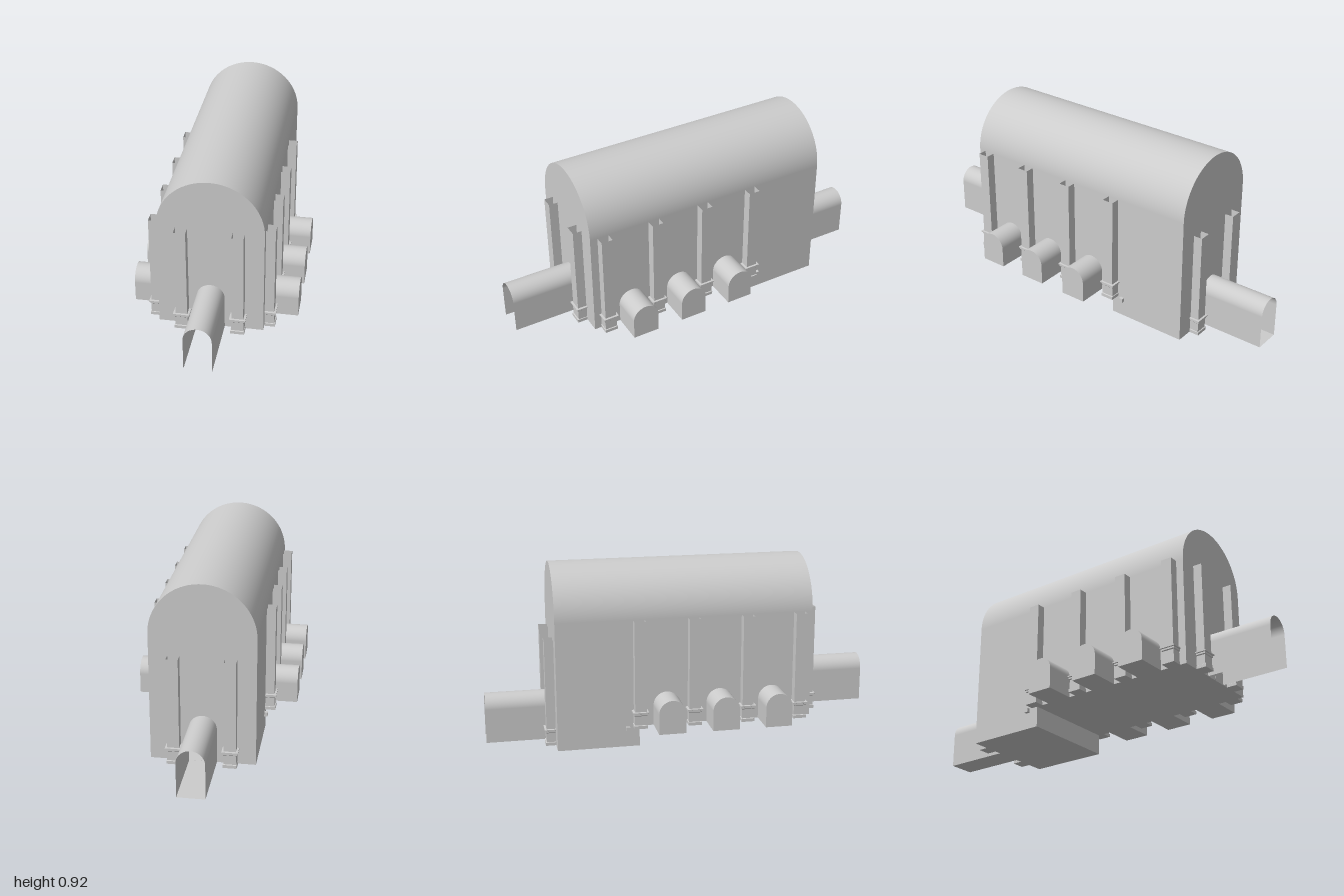
import * as THREE from 'three';

const W = 0.258, FLOOR = 0.106, SPRING = 0.657, END = 0.655, STEP = -0.24;
const mat = new THREE.MeshStandardMaterial({ color: 0xcccccc, side: THREE.DoubleSide });

function add(parent, name, geometry, x = 0, y = 0, z = 0) {
  const mesh = new THREE.Mesh(geometry, mat);
  mesh.name = name;
  mesh.position.set(x, y, z);
  parent.add(mesh);
  return mesh;
}

const box = (w, h, d) => new THREE.BoxGeometry(w, h, d);

// Half barrel running along z, springing from y = 0
const vaultGeometry = (r, length, segments) =>
  new THREE.CylinderGeometry(r, r, length, segments, 1, true, Math.PI / 2, Math.PI).rotateX(Math.PI / 2);

// Arched outline, used for gables, openings and end walls
function arch(Type, cx, y0, r, spring) {
  const p = new Type();
  p.moveTo(cx - r, y0);
  p.lineTo(cx + r, y0);
  p.lineTo(cx + r, spring);
  p.absarc(cx, spring, r, 0, Math.PI, false);
  p.lineTo(cx - r, y0);
  return p;
}

// Arched passage starting at its own z = 0 and running toward +z
function passage(name, r, spring, length, hasFloor, hasEnd) {
  const g = new THREE.Group();
  g.name = name;
  add(g, 'passageVault', vaultGeometry(r, length, 32), 0, spring, length / 2);
  for (const s of [-1, 1]) {
    add(g, 'passageWall', new THREE.PlaneGeometry(length, spring).rotateY(s * Math.PI / 2), s * r, spring / 2, length / 2);
  }
  if (hasFloor) add(g, 'passageFloor', new THREE.PlaneGeometry(2 * r, length).rotateX(Math.PI / 2), 0, 0, length / 2);
  if (hasEnd) add(g, 'passageEnd', new THREE.ShapeGeometry(arch(THREE.Shape, 0, 0, r, spring), 16), 0, 0, length);
  return g;
}

// Hollow pilaster with moulded pedestal: U-shaped sections stacked upward, back open to the wall
function pilasterGeometry() {
  const levels = [ // half width, depth, height
    [0.034, 0.052, 0], [0.034, 0.052, 0.016], [0.031, 0.047, 0.018], [0.031, 0.047, 0.066],
    [0.035, 0.051, 0.07], [0.035, 0.051, 0.078], [0.04, 0.056, 0.08], [0.04, 0.056, 0.086],
    [0.029, 0.046, 0.087], [0.029, 0.046, 0.551],
  ];
  const positions = [];
  const section = ([w, d, y]) => [[-w, y, 0], [-w, y, d], [w, y, d], [w, y, 0]];
  const quad = (a, b, c, d) => positions.push(...a, ...b, ...c, ...a, ...c, ...d);
  for (let i = 0; i < levels.length - 1; i++) {
    const lo = section(levels[i]), hi = section(levels[i + 1]);
    for (let k = 0; k < 3; k++) quad(lo[k], lo[k + 1], hi[k + 1], hi[k]);
  }
  const [a, b, c, d] = section(levels[0]);
  quad(a, d, c, b);
  const geometry = new THREE.BufferGeometry();
  geometry.setAttribute('position', new THREE.Float32BufferAttribute(positions, 3));
  geometry.computeVertexNormals();
  return geometry;
}

export function createModel() {
  const model = new THREE.Group();
  model.name = 'vaultedHall';
  const nicheZ = [0.446, 0.174, -0.1];
  const pilasterZ = [0.587, 0.313, 0.037, -0.24];

  // Main barrel vault
  add(model, 'mainVault', vaultGeometry(W, 2 * END, 64), 0, SPRING, 0);

  // Side walls, stepped at the lower court and pierced by the niches
  const side = new THREE.Shape([
    [END, FLOOR], [END, SPRING], [-END, SPRING], [-END, 0], [STEP, 0], [STEP, FLOOR],
  ].map(([z, y]) => new THREE.Vector2(z, y)));
  for (const z of nicheZ) side.holes.push(arch(THREE.Path, z, FLOOR + 0.0005, 0.068, 0.21));
  for (const s of [-1, 1]) {
    add(model, 'sideWall', new THREE.ShapeGeometry(side, 16).rotateY(-Math.PI / 2), s * W, 0, 0);
  }

  // Gable walls with arched doorways
  const front = arch(THREE.Shape, 0, FLOOR, W, SPRING);
  front.holes.push(arch(THREE.Path, 0, FLOOR + 0.0005, 0.068, 0.277));
  add(model, 'frontWall', new THREE.ShapeGeometry(front, 32), 0, 0, END);
  const back = arch(THREE.Shape, 0, 0, W, SPRING);
  back.holes.push(arch(THREE.Path, 0, 0.0005, 0.068, 0.177));
  add(model, 'backWall', new THREE.ShapeGeometry(back, 32).rotateY(Math.PI), 0, 0, -END);

  // Upper and lower floors and the riser between them
  add(model, 'upperFloor', new THREE.PlaneGeometry(2 * W, END - STEP).rotateX(Math.PI / 2), 0, FLOOR, (END + STEP) / 2);
  add(model, 'lowerFloor', new THREE.PlaneGeometry(2 * W, END + STEP).rotateX(Math.PI / 2), 0, 0, (STEP - END) / 2);
  add(model, 'floorRiser', new THREE.PlaneGeometry(2 * W, FLOOR), 0, FLOOR / 2, STEP);
  add(model, 'landing', box(2 * W - 0.002, FLOOR - 0.002, 0.06), 0, FLOOR / 2, STEP - 0.031);

  // Landing edge moulding, its ends showing through the side walls
  for (const s of [-1, 1]) add(model, 'landingMoulding', box(0.207, 0.021, 0.021), s * 0.1715, 0.0955, -0.3);

  // Stairs down to the lower floor
  const steps = 10;
  for (let i = 0; i < steps; i++) {
    const h = FLOOR * (1 - i / steps) - 0.002;
    add(model, 'stairStep', box(0.136, h, 0.02), 0, 0.001 + h / 2, -0.311 - i * 0.02);
  }
  for (const s of [-1, 1]) add(model, 'stairCurb', box(0.016, 0.004, 0.2), s * 0.076, 0.003, -0.401);

  // Front and back passages
  const entrance = passage('entrancePassage', 0.068, 0.171, 1 - END, false, false);
  entrance.position.set(0, FLOOR, END);
  const exit = passage('exitPassage', 0.068, 0.177, 1 - END, true, false);
  exit.position.z = -END;
  exit.rotation.y = Math.PI;
  model.add(entrance, exit);

  // Double door closing the entrance: each leaf is half an arch
  for (const s of [-1, 1]) {
    const leaf = new THREE.Shape();
    leaf.moveTo(s * 0.001, FLOOR);
    leaf.lineTo(s * 0.068, FLOOR);
    leaf.lineTo(s * 0.068, 0.277);
    leaf.absarc(0, 0.277, 0.068, s > 0 ? 0 : Math.PI, Math.PI / 2, s < 0);
    leaf.lineTo(s * 0.001, FLOOR);
    add(model, 'doorLeaf', new THREE.ShapeGeometry(leaf, 16), 0, 0, END);
  }

  // Side niches
  for (const s of [-1, 1]) for (const z of nicheZ) {
    const niche = passage('sideNiche', 0.068, 0.104, 0.154, true, true);
    niche.position.set(s * W, FLOOR, z);
    niche.rotation.y = s * Math.PI / 2;
    model.add(niche);
  }

  // Pilasters along the sides, front and back
  const pilaster = pilasterGeometry();
  for (const s of [-1, 1]) {
    for (const z of pilasterZ) add(model, 'sidePilaster', pilaster, s * W, FLOOR, z).rotation.y = s * Math.PI / 2;
    add(model, 'frontPilaster', pilaster, s * 0.137, FLOOR, END);
    add(model, 'backPilaster', pilaster, s * 0.137, 0, -END).rotation.y = Math.PI;
  }
  return model;
}
